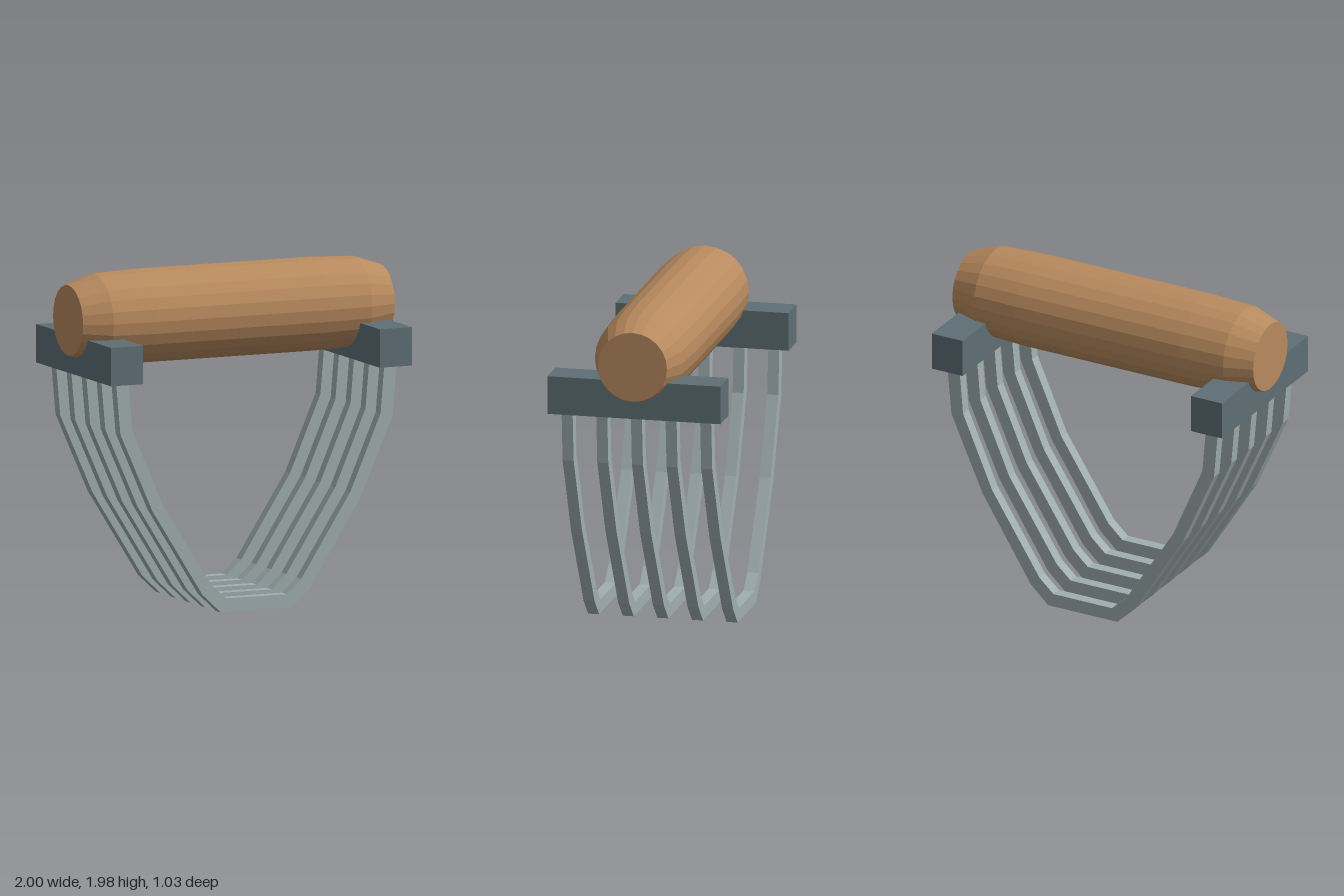
import * as THREE from 'three';

export function createModel() {
  const model = new THREE.Group();
  const paint = (color) => new THREE.MeshStandardMaterial({ color, flatShading: true });
  const wood = paint(0xb88a5e);
  const darkMetal = paint(0x5f6f75);
  const lightMetal = paint(0xa0aeb0);

  const add = (name, geometry, material, x = 0, y = 0, z = 0) => {
    const mesh = new THREE.Mesh(geometry, material);
    mesh.name = name;
    mesh.position.set(x, y, z);
    model.add(mesh);
    return mesh;
  };

  // Wooden grip: a turned bar with tapered ends, lying along x
  const profile = [
    [0, -1], [0.207, -1], [0.264, -0.83], [0.275, -0.55],
    [0.275, 0.55], [0.264, 0.83], [0.207, 1], [0, 1],
  ].map(([r, h]) => new THREE.Vector2(r, h));
  const grip = new THREE.LatheGeometry(profile, 24);
  grip.rotateZ(Math.PI / 2);
  add('handle', grip, wood, 0, 1.705, 0);

  // Blocks that hold the grip and the blade ends
  const block = new THREE.BoxGeometry(0.205, 0.226, 1.034);
  add('leftBlock', block, darkMetal, 0.862, 1.498, 0);
  add('rightBlock', block, darkMetal, -0.862, 1.498, 0);

  // Bent blades: one half of the outline, mirrored across x
  const outer = [[0.23, 0], [0.345, 0.108], [0.667, 0.622], [0.873, 1.086], [0.903, 1.42]];
  const inner = [[0.823, 1.42], [0.796, 1.105], [0.602, 0.655], [0.288, 0.165], [0.195, 0.08]];
  const half = [...outer, ...inner];
  const mirrored = half.map(([x, y]) => [-x, y]).reverse();
  const outline = [...half, ...mirrored].map(([x, y]) => new THREE.Vector2(x, y));

  const thickness = 0.066;
  const blade = new THREE.ExtrudeGeometry(new THREE.Shape(outline), {
    depth: thickness, bevelEnabled: false,
  });
  blade.translate(0, 0, -thickness / 2);
  for (let i = -2; i <= 2; i++) add('blade' + (i + 3), blade, lightMetal, 0, 0, i * 0.207);

  return model;
}
